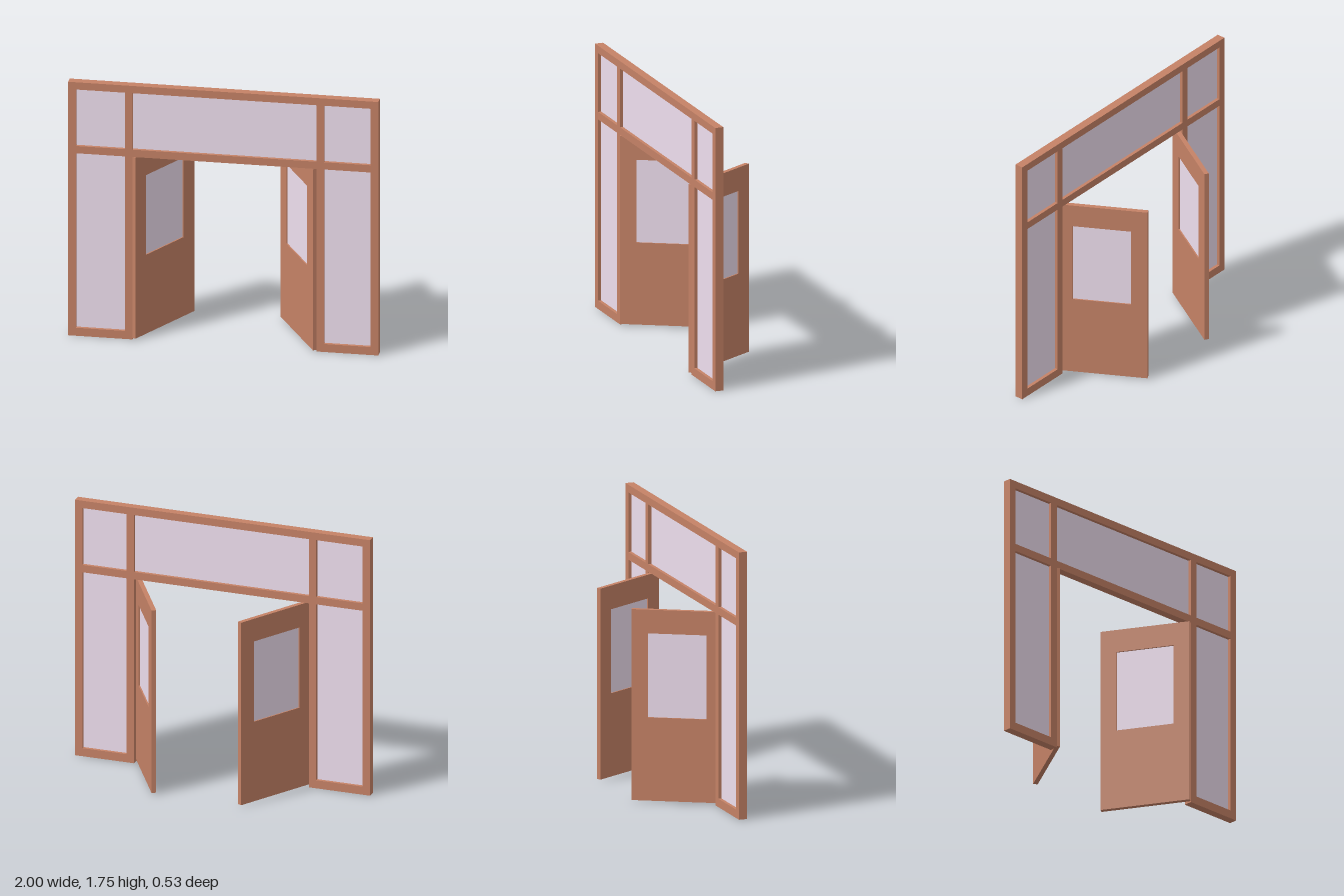
import * as THREE from 'three';

const wood = new THREE.MeshStandardMaterial({ color: 0xc58266 });
const glass = new THREE.MeshStandardMaterial({ color: 0xefdfef });

// Rectangles are [x0, y0, x1, y1]
const corners = ([x0, y0, x1, y1]) =>
  [[x0, y0], [x1, y0], [x1, y1], [x0, y1]].map(([x, y]) => new THREE.Vector2(x, y));

// Wooden slab with rectangular openings, each filled by a recessed pane
function glazedSlab(name, outline, openings, depth, paneDepth) {
  const group = new THREE.Group();
  group.name = name;
  const shape = new THREE.Shape(outline);
  for (const o of openings) shape.holes.push(new THREE.Path(corners(o).reverse()));
  const geometry = new THREE.ExtrudeGeometry(shape, { depth, bevelEnabled: false });
  geometry.translate(0, 0, -depth / 2);
  const slab = new THREE.Mesh(geometry, wood);
  slab.name = name + 'Wood';
  group.add(slab);
  for (const [x0, y0, x1, y1] of openings) {
    const pane = new THREE.Mesh(new THREE.BoxGeometry(x1 - x0, y1 - y0, paneDepth), glass);
    pane.position.set((x0 + x1) / 2, (y0 + y1) / 2, 0);
    pane.name = name + 'Pane';
    group.add(pane);
  }
  return group;
}

export function createModel() {
  const model = new THREE.Group();
  model.name = 'doubleDoorEntrance';

  // Frame with side lights and transoms around the doorway
  const outline = [
    [-1, 0], [-0.585, 0], [-0.585, 1.26], [0.6, 1.26], [0.6, 0], [1, 0], [1, 1.75], [-1, 1.75],
  ].map(([x, y]) => new THREE.Vector2(x, y));
  const openings = [[-0.95, -0.635], [0.65, 0.95]].flatMap(([a, b]) => [
    [a, 0.055, b, 1.26], [a, 1.31, b, 1.7],
  ]);
  openings.push([-0.585, 1.31, 0.6, 1.7]);
  const frame = glazedSlab('frame', outline, openings, 0.055, 0.012);
  frame.position.z = 0.226;
  model.add(frame);

  // Two doors swung open towards the back
  for (const side of [-1, 1]) {
    const door = glazedSlab(side > 0 ? 'leftDoor' : 'rightDoor',
      corners([-0.295, 0.01, 0.295, 1.26]), [[-0.188, 0.555, 0.188, 1.105]], 0.03, 0.012);
    door.position.x = 0.007 + side * 0.438;
    door.rotation.y = -side * Math.PI / 3;
    model.add(door);
  }
  return model;
}
